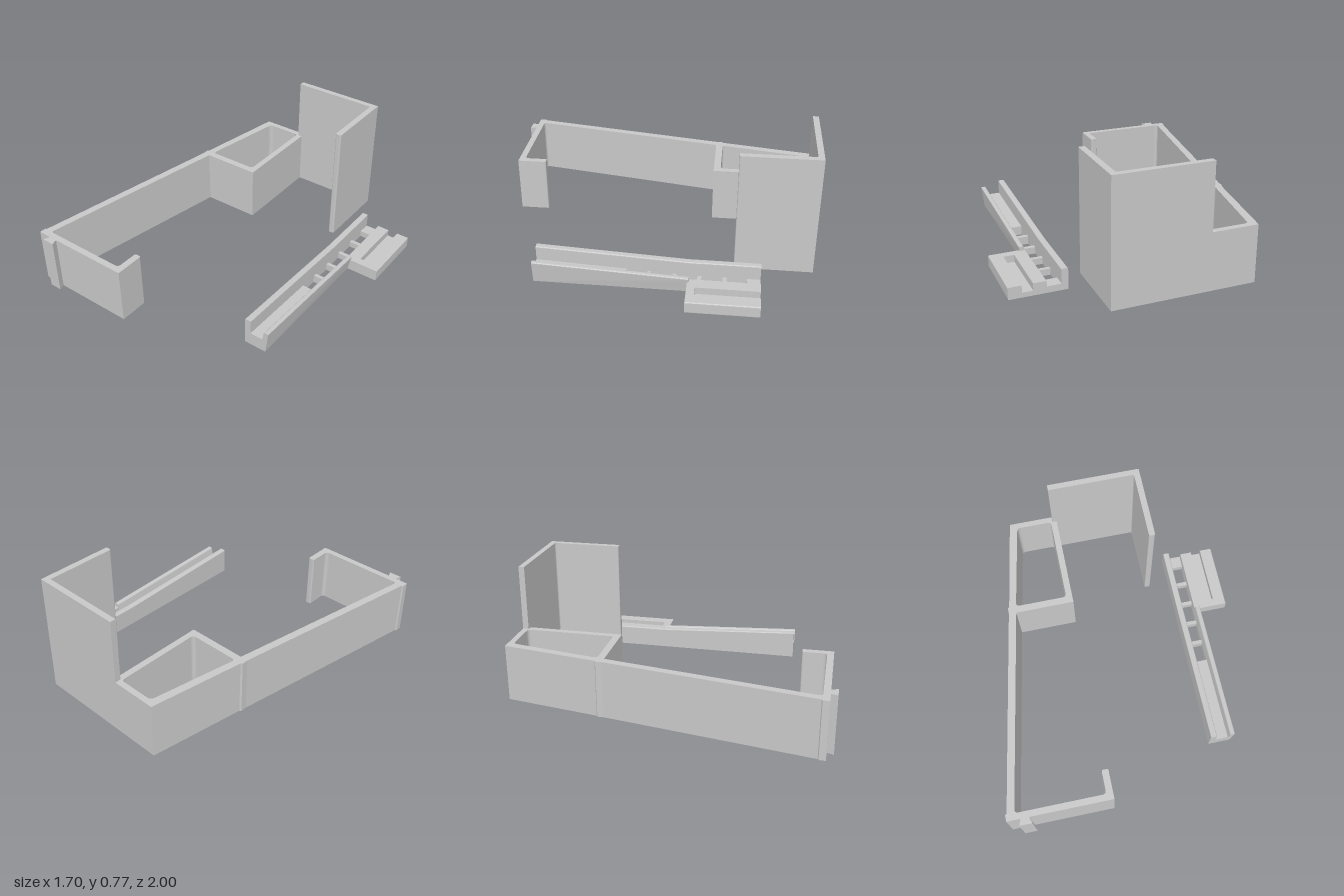
import * as THREE from 'three';

// Polygon from [x, y, cornerRadius] points; a radius trims the corner with a curve.
function rounded(points, Type = THREE.Shape) {
  const path = new Type();
  const n = points.length;
  points.forEach(([x, y, r = 0], i) => {
    const corner = new THREE.Vector2(x, y);
    const toward = ([px, py]) =>
      new THREE.Vector2(px, py).sub(corner).setLength(r).add(corner);
    const a = toward(points[(i + n - 1) % n]);
    const b = toward(points[(i + 1) % n]);
    if (i === 0) path.moveTo(a.x, a.y);
    else path.lineTo(a.x, a.y);
    if (r > 0) path.quadraticCurveTo(x, y, b.x, b.y);
  });
  path.closePath();
  return path;
}

const extrude = (shape, depth) =>
  new THREE.ExtrudeGeometry(shape, { depth, bevelEnabled: false, curveSegments: 5 });
const flipZ = (points) => points.map(([x, z, r]) => [x, -z, r]);

// Floor plan of [x, z, r] points raised to a height; a hole runs opposite to the outline
function plan(points, height, hole) {
  const shape = rounded(flipZ(points));
  if (hole) shape.holes.push(rounded(flipZ(hole), THREE.Path));
  return extrude(shape, height).rotateX(-Math.PI / 2);
}

// Side profile of [z, y, r] points, swept from x0 to x1
function sideProfile(points, x0, x1) {
  const shape = rounded(points.map(([z, y, r]) => [-z, y, r]));
  return extrude(shape, x1 - x0).rotateY(Math.PI / 2).translate(x0, 0, 0);
}

// Front profile of [x, y, r] points, swept from z0 to z1
const frontProfile = (points, z0, z1) =>
  extrude(rounded(points), z1 - z0).translate(0, 0, z0);

// The rail is level behind the bend and climbs from there to the front
const back = -0.68, bend = -0.25, front = 0.675;
const rise = (z) => 0.045 * Math.max(0, (z - bend) / (front - bend));

// Front profile whose upper points follow the climb of the rail
function ramp(points, z0) {
  const geometry = frontProfile(points, z0, front);
  const p = geometry.attributes.position;
  for (let i = 0; i < p.count; i++) {
    if (p.getY(i) > 0.03) p.setY(i, p.getY(i) + rise(p.getZ(i)));
  }
  geometry.computeVertexNormals();
  return geometry;
}

export function createModel() {
  const model = new THREE.Group();
  const grey = new THREE.MeshStandardMaterial({ color: 0xc8c8c8 });
  grey.name = 'light grey';

  const add = (parent, name, geometry) => {
    const mesh = new THREE.Mesh(geometry, grey);
    mesh.name = name;
    parent.add(mesh);
  };

  // Bracket: low slanted frame with an open pocket and a hooked front end
  const bracket = new THREE.Group();
  bracket.name = 'bracket';
  model.add(bracket);
  add(bracket, 'lowFrame', plan([
    [-0.51, -1], [-0.193, -1], [-0.193, -0.355], [-0.573, -0.355],
    [-0.797, 0.92, 0.025], [-0.235, 0.92, 0.025], [-0.235, 0.772, 0.01],
    [-0.193, 0.772, 0.01], [-0.193, 0.96], [-0.853, 0.96], [-0.853, 0.92],
    [-0.843, 0.915], [-0.622, -0.355], [-0.622, -0.395], [-0.612, -0.402],
  ], 0.36, [
    [-0.465, -0.963, 0.025], [-0.567, -0.4, 0.025],
    [-0.233, -0.4, 0.025], [-0.233, -0.963, 0.025],
  ]));
  add(bracket, 'dovetailTab', plan([
    [-0.765, 0.955], [-0.715, 0.955], [-0.70, 1], [-0.78, 1],
  ], 0.36));
  add(bracket, 'tallWall', plan([
    [-0.222, -1], [0.374, -1], [0.374, -0.517, 0.01], [0.335, -0.517, 0.01],
    [0.335, -0.963, 0.012], [-0.222, -0.963],
  ], 0.773));

  // Rail: channel that ramps up toward the front
  const rail = new THREE.Group();
  rail.name = 'rail';
  model.add(rail);

  const wall = [[0.5, 0], [0.54, 0], [0.54, 0.132, 0.008], [0.5, 0.132, 0.008]];
  add(rail, 'railWallBack', frontProfile(wall, back, bend));
  add(rail, 'railWallFront', ramp(wall, bend));

  // Floor pieces leave five rectangular openings between them
  const spans = [[back, -0.6], [-0.48, -0.455], [-0.33, -0.305],
    [-0.18, -0.155], [-0.03, -0.005], [0.12, front]];
  spans.forEach(([z0, z1], i) => add(rail, `railFloor${i + 1}`, sideProfile([
    [z0, 0], [z1, 0], [z1, 0.04 + rise(z1)], [z0, 0.04 + rise(z0)],
  ], 0.535, 0.625)));

  // Leaning lip beside the channel
  add(rail, 'railLip', ramp([
    [0.62, 0], [0.645, 0], [0.664, 0.1, 0.01], [0.633, 0.1, 0.01],
    [0.622, 0.04],
  ], bend - 0.01));

  // Side plate with a groove open at the back
  add(rail, 'groovedPlate', frontProfile([
    [0.622, 0], [0.85, 0, 0.008], [0.85, 0.075, 0.008], [0.77, 0.075],
    [0.77, 0.03], [0.705, 0.03], [0.705, 0.075], [0.628, 0.075],
  ], back, -0.3));
  add(rail, 'plateFrontEnd', frontProfile([
    [0.622, 0], [0.85, 0, 0.008], [0.85, 0.075, 0.008], [0.628, 0.075],
  ], -0.3, bend));

  return model;
}
